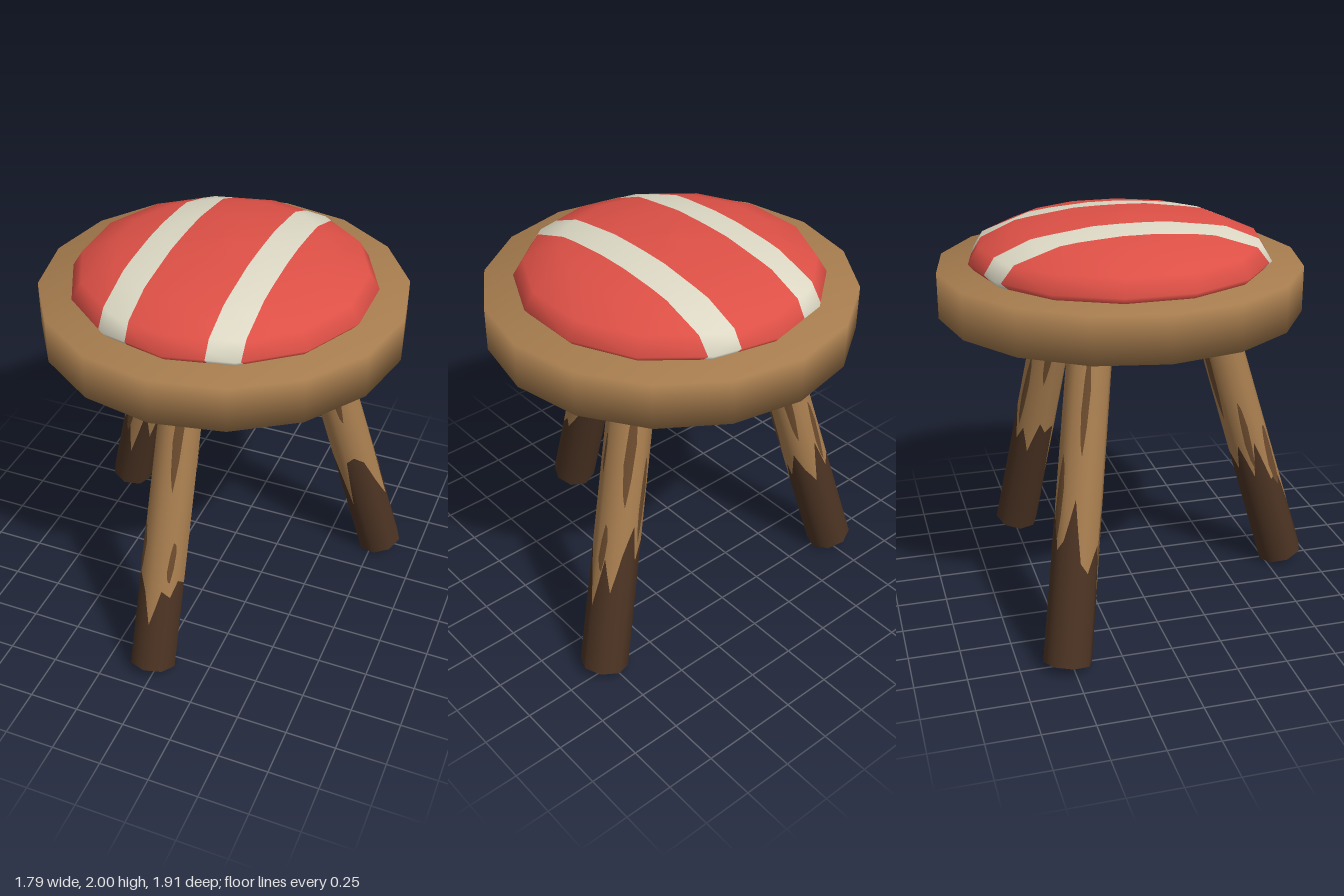
import * as THREE from 'three';
import { mergeVertices } from 'three/addons/utils/BufferGeometryUtils.js';

const mat = (name, color) => new THREE.MeshStandardMaterial({ name, color });

function makeMesh(name, geometry, material) {
  const m = new THREE.Mesh(geometry, material);
  m.name = name;
  return m;
}

function fromArrays(pos, nor) {
  const g = new THREE.BufferGeometry();
  g.setAttribute('position', new THREE.Float32BufferAttribute(pos, 3));
  g.setAttribute('normal', new THREE.Float32BufferAttribute(nor, 3));
  return g;
}

// Keep the part of a polygon of {p, n} corners on one side of the plane x = limit
function clip(poly, limit, sign) {
  const out = [];
  poly.forEach((a, i) => {
    const b = poly[(i + 1) % poly.length];
    const da = (a.p.x - limit) * sign, db = (b.p.x - limit) * sign;
    if (da >= 0) out.push(a);
    if (da * db < 0) {
      const t = da / (da - db);
      out.push({ p: a.p.clone().lerp(b.p, t), n: a.n.clone().lerp(b.n, t).normalize() });
    }
  });
  return out;
}

// Slice of a geometry between two x planes
function slab(geometry, x0, x1) {
  const g = geometry.toNonIndexed(), P = g.attributes.position, N = g.attributes.normal;
  const pos = [], nor = [];
  for (let i = 0; i < P.count; i += 3) {
    let poly = [0, 1, 2].map(k => ({
      p: new THREE.Vector3().fromBufferAttribute(P, i + k),
      n: new THREE.Vector3().fromBufferAttribute(N, i + k),
    }));
    poly = clip(clip(poly, x0, 1), x1, -1);
    for (let k = 1; k + 1 < poly.length; k++) {
      for (const v of [poly[0], poly[k], poly[k + 1]]) {
        pos.push(...v.p.toArray());
        nor.push(...v.n.toArray());
      }
    }
  }
  return fromArrays(pos, nor);
}

// Strip wrapped on an eight-sided tapered leg, between heights lo(t) and hi(t)
function legStrip(length, a0, a1, cols, lo, hi, lift = 0) {
  const pos = [], nor = [], step = Math.PI / 4;
  const point = (a, y) => {
    const local = a - Math.floor(a / step + 1e-6) * step;
    const r = (0.119 - 0.011 * y / length) * Math.cos(step / 2) / Math.cos(local - step / 2) + lift;
    return [r * Math.sin(a), y, r * Math.cos(a)];
  };
  for (let i = 0; i < cols; i++) {
    const t0 = i / cols, t1 = (i + 1) / cols;
    const A = a0 + (a1 - a0) * t0, B = a0 + (a1 - a0) * t1;
    const corners = [[A, lo(t0)], [B, lo(t1)], [B, hi(t1)], [A, hi(t0)]];
    for (const k of [0, 1, 2, 0, 2, 3]) {
      pos.push(...point(...corners[k]));
      nor.push(Math.sin(corners[k][0]), 0, Math.cos(corners[k][0]));
    }
  }
  return fromArrays(pos, nor);
}

function makeLeg(name, spec, mats) {
  const leg = new THREE.Group();
  leg.name = name;
  const foot = new THREE.Vector3(...spec.foot);
  const axis = new THREE.Vector3(...spec.top).sub(foot);
  const length = axis.length();
  leg.position.copy(foot);
  leg.quaternion.setFromUnitVectors(new THREE.Vector3(0, 1, 0), axis.normalize());

  // Ragged border between the dark foot and the bare wood
  const n = spec.border.length;
  const border = t => {
    const u = t * n, i = Math.floor(u), f = u - i;
    return THREE.MathUtils.lerp(spec.border[i % n], spec.border[(i + 1) % n], f);
  };
  const full = Math.PI * 2;
  leg.add(makeMesh('darkFoot', legStrip(length, 0, full, 32, () => 0, border), mats.dark));
  leg.add(makeMesh('legWood', legStrip(length, 0, full, 32, border, () => length), mats.wood));
  const sole = new THREE.CircleGeometry(0.119, 8).rotateX(Math.PI / 2);
  leg.add(makeMesh('sole', sole, mats.dark));

  // Grain streaks: centre angle, half width (degrees), bottom, top
  for (const [deg, half, y0, y1] of spec.streaks) {
    const a = THREE.MathUtils.degToRad(deg), w = THREE.MathUtils.degToRad(half);
    const mid = (y0 + y1) / 2, h = (y1 - y0) / 2;
    const bulge = t => h * Math.sqrt(Math.max(0, 1 - Math.abs(2 * t - 1)));
    leg.add(makeMesh('grainStreak', legStrip(length, a - w, a + w, 6,
      t => mid - bulge(t) + 0.1 * (t - 0.5), t => mid + bulge(t) + 0.1 * (t - 0.5), 0.003), mats.streak));
  }
  return leg;
}

export function createModel() {
  const model = new THREE.Group();
  model.name = 'stool';
  const mats = {
    wood: mat('wood', 0xa67c4e),
    dark: mat('darkWood', 0x4a3222),
    streak: mat('streakWood', 0x6a4a2d),
    red: mat('redCloth', 0xdd5046),
    cream: mat('creamCloth', 0xdcd8c4),
  };
  const centreZ = -0.06;

  // Round seat with soft shading over its edges
  let seat = new THREE.CylinderGeometry(0.892, 0.892, 0.225, 16);
  seat.deleteAttribute('normal');
  seat.deleteAttribute('uv');
  seat = mergeVertices(seat);
  seat.computeVertexNormals();
  const seatMesh = makeMesh('seat', seat, mats.wood);
  seatMesh.position.set(0, 1.6475, centreZ);
  model.add(seatMesh);

  // Domed cushion sliced into coloured bands
  const profile = [[0.71, 1.755], [0.74, 1.79], [0.69, 1.87], [0.52, 1.943], [0.27, 1.985], [0, 2]]
    .map(p => new THREE.Vector2(...p));
  const dome = new THREE.LatheGeometry(profile, 14);
  const cushion = new THREE.Group();
  cushion.name = 'cushion';
  cushion.position.z = centreZ;
  const cuts = [-1, -0.35, -0.195, 0.188, 0.34, 1];
  for (let i = 0; i < 5; i++) {
    const cream = i % 2 === 1;
    cushion.add(makeMesh(cream ? 'creamStripe' : 'redPanel',
      slab(dome, cuts[i], cuts[i + 1]), cream ? mats.cream : mats.red));
  }
  model.add(cushion);

  // Three splayed legs; borders run round from the front towards +x
  const legs = {
    frontLeg: {
      foot: [-0.022, 0.04, 0.842], top: [-0.01, 1.6, 0.375],
      border: [0.26, 0.45, 0.42, 0.5, 0.48, 0.6, 0.72, 0.85, 0.7, 0.6, 0.75, 0.55, 0.75, 0.5, 0.52, 0.42],
      streaks: [[22, 13, 0.98, 1.6], [-35, 10, 1.38, 1.58], [-50, 14, 0.45, 0.82], [40, 9, 0.5, 0.72],
        [95, 7, 1.05, 1.3], [140, 14, 0.7, 1.2], [200, 12, 0.9, 1.5], [255, 10, 0.6, 1]],
    },
    backRightLeg: {
      foot: [-0.775, 0.035, -0.525], top: [-0.375, 1.6, -0.29],
      border: [0.3, 0.66, 0.45, 0.6, 0.55, 0.7, 0.6, 0.5, 0.75, 0.55, 0.6, 0.8, 0.5, 0.45, 0.58, 0.5],
      streaks: [[35, 14, 1.15, 1.6], [8, 9, 0.95, 1.35], [-25, 12, 0.45, 0.75], [60, 16, 0.7, 1.1],
        [140, 12, 0.8, 1.4], [200, 13, 0.6, 1], [255, 10, 1, 1.5]],
    },
    backLeftLeg: {
      foot: [0.78, 0.035, -0.483], top: [0.375, 1.6, -0.265],
      border: [0.68, 0.7, 0.66, 0.5, 0.36, 0.62, 0.45, 0.65, 0.8, 0.6, 0.7, 0.55, 0.75, 0.68, 0.72, 0.35],
      streaks: [[-45, 16, 1.2, 1.6], [22, 10, 0.95, 1.25], [75, 9, 1.05, 1.25], [105, 10, 0.55, 0.8],
        [150, 14, 0.9, 1.45], [205, 12, 0.7, 1.15], [260, 12, 1, 1.5]],
    },
  };
  for (const [name, spec] of Object.entries(legs)) model.add(makeLeg(name, spec, mats));
  return model;
}
